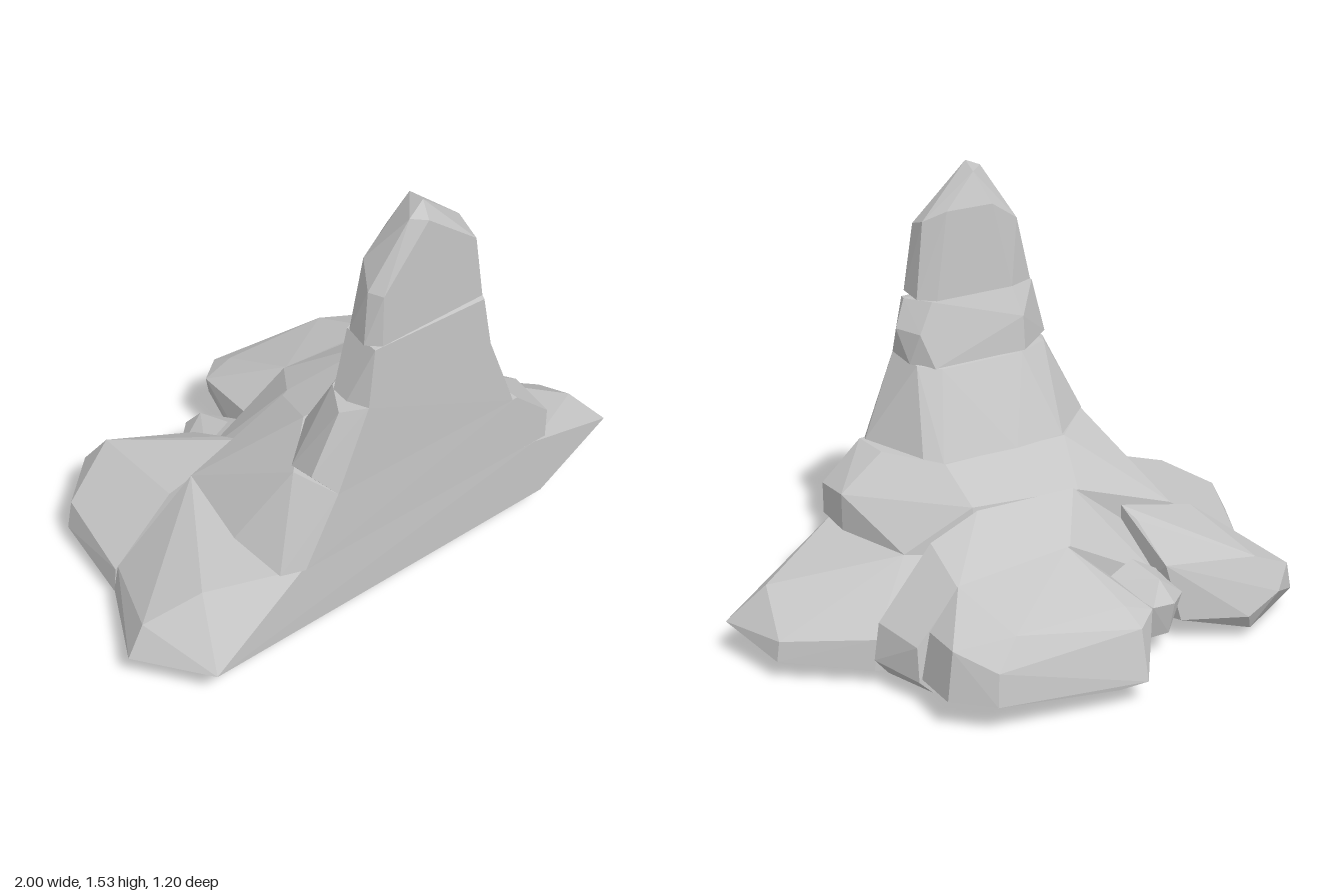
import * as THREE from 'three';
import { ConvexGeometry } from 'three/addons/geometries/ConvexGeometry.js';

export function createModel() {
  const group = new THREE.Group();
  const stone = new THREE.MeshStandardMaterial({ color: 0xc6c6c6 });
  stone.name = 'grey stone';

  // Each boulder is the convex hull of a few corner points [x, y, z], with flat faces.
  const boulder = (name, corners) => {
    const geometry = new ConvexGeometry(corners.map((c) => new THREE.Vector3(...c)));
    const mesh = new THREE.Mesh(geometry, stone);
    mesh.name = name;
    group.add(mesh);
  };

  // Wide base slab with a flat front and a bevelled underside
  boulder('baseSlab', [
    [-1, 0.1, 0.33], [-0.84, 0.11, 0.58], [0.55, 0.12, 0.6], [1, 0.12, 0.47],
    [0.95, 0.07, 0.2], [0.94, 0.14, 0.2], [0.7, 0.05, 0], [-0.82, 0.05, 0],
    [-0.75, 0.035, 0.5], [0.58, 0, 0.38], [-0.6, 0.03, 0.02],
    [0.6, 0.03, 0], [-0.94, 0.21, 0.33], [-0.77, 0.31, 0.42], [-0.49, 0.36, 0.58],
    [-0.49, 0.36, 0], [-0.8, 0.14, 0], [0.5, 0.36, 0.6], [0.5, 0.36, 0.14],
    [0.3, 0.36, 0], [0.88, 0.25, 0.4], [0.69, 0.16, 0],
  ]);

  // Tower tiers, bottom to top
  boulder('lowerTier', [
    [-0.57, 0.36, 0.56], [-0.57, 0.36, 0.33], [-0.49, 0.36, 0], [0.3, 0.36, 0],
    [0.5, 0.36, 0.14], [0.57, 0.36, 0.43], [0.55, 0.36, 0.6], [-0.49, 0.36, 0.59],
    [-0.36, 0.6, 0.59], [-0.4, 0.6, 0.42], [-0.2, 0.6, 0.23], [0.28, 0.6, 0.23],
    [0.4, 0.6, 0.45], [0.4, 0.6, 0.6], [0.57, 0.49, 0.43], [0.55, 0.47, 0.6],
    [-0.1, 0.5, 0], [0.3, 0.52, 0.03],
  ]);
  boulder('middleTier', [
    [-0.36, 0.6, 0.59], [-0.41, 0.65, 0.52], [-0.39, 0.61, 0.4], [-0.2, 0.6, 0.24],
    [0, 0.6, 0.22], [0.28, 0.6, 0.24], [0.33, 0.61, 0.29], [0.4, 0.61, 0.56],
    [0.38, 0.6, 0.6], [-0.31, 0.86, 0.53], [-0.25, 0.89, 0.6], [-0.25, 0.88, 0.43],
    [-0.12, 0.88, 0.37], [0.2, 0.88, 0.37], [0.27, 0.89, 0.42], [0.26, 0.89, 0.6],
  ]);
  boulder('upperTier', [
    [-0.25, 0.89, 0.6], [-0.28, 0.89, 0.53], [-0.28, 0.9, 0.47], [-0.14, 0.88, 0.38],
    [0.22, 0.88, 0.38], [0.28, 0.89, 0.45], [0.26, 0.89, 0.6], [0.29, 1, 0.52],
    [0.26, 1, 0.41], [-0.14, 1, 0.39], [0.24, 1.09, 0.55], [0.22, 1.08, 0.6],
    [0.2, 1.1, 0.43], [-0.23, 1.1, 0.6], [-0.22, 1.1, 0.46], [-0.12, 1.1, 0.43],
  ]);
  boulder('peak', [
    [-0.24, 1.1, 0.56], [-0.2, 1.1, 0.6], [-0.22, 1.1, 0.47], [-0.12, 1.1, 0.43],
    [0.18, 1.1, 0.43], [0.23, 1.1, 0.48], [0.21, 1.1, 0.6], [-0.22, 1.28, 0.55],
    [-0.2, 1.28, 0.6], [-0.16, 1.33, 0.46], [0.19, 1.36, 0.5], [0.17, 1.33, 0.6],
    [0.13, 1.4, 0.44], [-0.05, 1.4, 0.44], [-0.09, 1.5, 0.58], [-0.02, 1.53, 0.56],
    [-0.03, 1.48, 0.6], [0, 1.51, 0.48],
  ]);

  // Boulders piled against the back
  boulder('rearShelf', [
    [-0.28, 0.03, 0], [0.65, 0.03, 0], [0.7, 0.09, 0], [0.68, 0.22, 0], [0.48, 0.45, 0],
    [0.3, 0.52, 0], [-0.08, 0.51, 0], [-0.28, 0.35, 0], [-0.28, 0.04, -0.2],
    [0.6, 0.03, -0.2], [0.65, 0.08, -0.2], [0.65, 0.2, -0.19], [0.5, 0.37, -0.2],
    [0.07, 0.41, -0.2], [-0.28, 0.22, -0.2],
  ]);
  boulder('rearLargeBoulder', [
    [-0.08, 0.08, -0.2], [0.05, 0.03, -0.2], [0.58, 0.03, -0.2], [0.64, 0.09, -0.2],
    [0.62, 0.26, -0.22], [0.5, 0.38, -0.2], [0.08, 0.41, -0.2], [-0.08, 0.27, -0.22],
    [-0.07, 0.1, -0.3], [-0.06, 0.26, -0.48], [0.66, 0.1, -0.39], [0.64, 0.27, -0.39],
    [0.55, 0.1, -0.51], [0.54, 0.21, -0.5], [0.45, 0.3, -0.46], [0.05, 0.3, -0.48],
    [0.04, 0.25, -0.56], [0.04, 0.08, -0.6], [0.14, 0.07, -0.58], [0.1, 0.02, -0.5],
    [0.4, 0.04, -0.42],
  ]);
  boulder('rearSideBoulder', [
    [-0.82, 0.04, 0], [-0.81, 0.13, 0], [-0.58, 0.33, 0], [-0.28, 0.4, 0],
    [-0.28, 0.03, 0], [-0.29, 0.37, -0.08], [-0.28, 0.27, -0.26], [-0.31, 0.08, -0.31],
    [-0.78, 0.08, -0.32], [-0.76, 0.18, -0.32], [-0.59, 0.18, -0.48], [-0.55, 0.29, -0.4],
    [-0.49, 0.1, -0.45], [-0.52, 0.04, -0.42], [-0.66, 0.04, -0.35],
  ]);
  boulder('rearSmallBoulder', [
    [-0.31, 0.08, -0.2], [-0.32, 0.18, -0.3], [-0.28, 0.24, -0.2], [-0.08, 0.25, -0.2],
    [-0.08, 0.06, -0.2], [-0.18, 0.3, -0.2], [-0.2, 0.27, -0.33], [-0.22, 0.2, -0.39],
    [-0.14, 0.2, -0.38], [-0.09, 0.16, -0.32], [-0.22, 0.08, -0.36], [-0.14, 0.07, -0.34],
  ]);

  return group;
}
